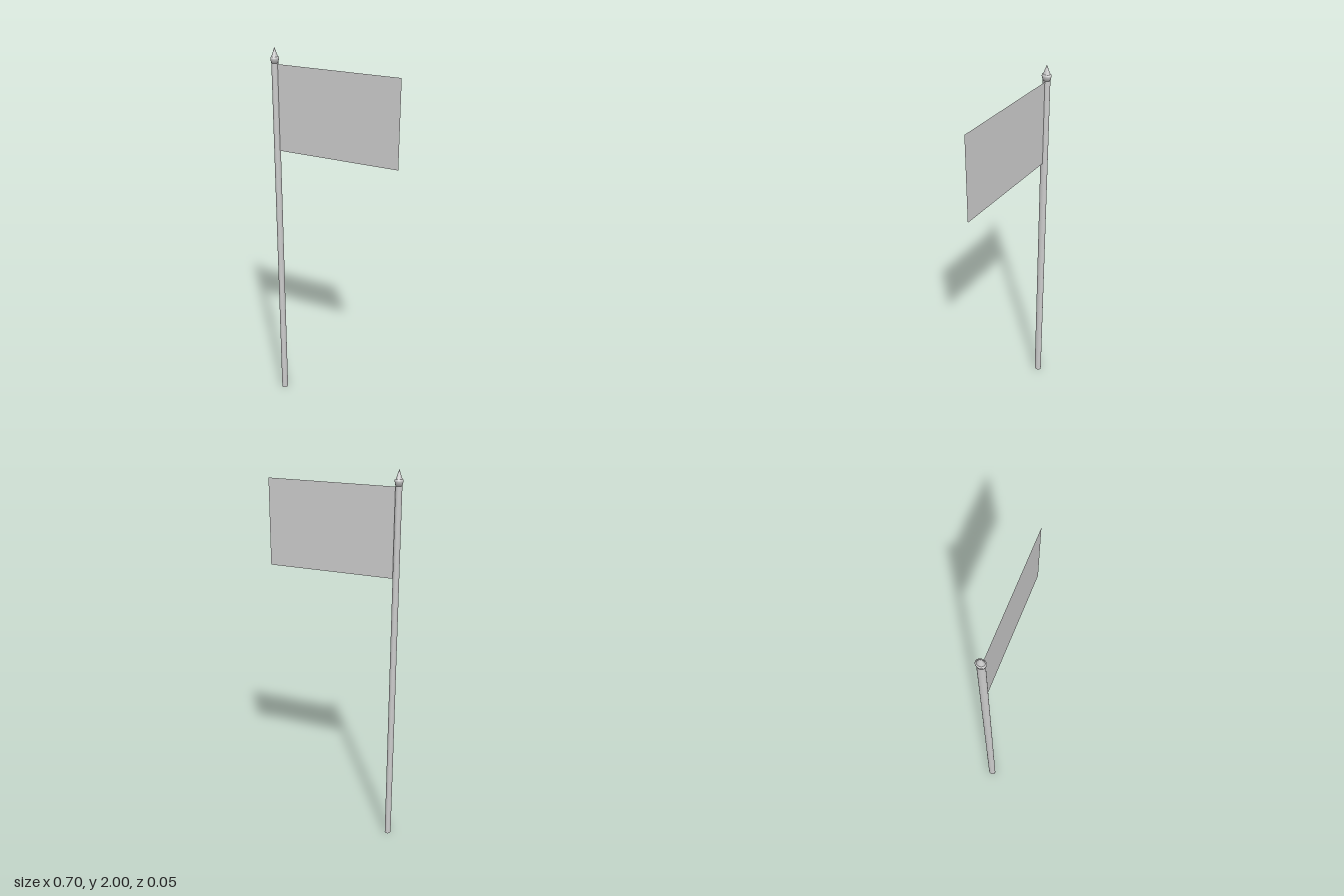
import * as THREE from 'three';

export function createModel() {
  const group = new THREE.Group();
  const grey = new THREE.MeshStandardMaterial({ color: 0xcccccc });
  const cloth = new THREE.MeshStandardMaterial({ color: 0xcccccc, side: THREE.DoubleSide });

  const add = (name, geometry, material, x, y) => {
    const mesh = new THREE.Mesh(geometry, material);
    mesh.name = name;
    mesh.position.set(x, y, 0);
    group.add(mesh);
    return mesh;
  };

  const poleX = -0.331;
  const squash = 0.8; // the pole is oval, narrower across x

  // Pole
  add('pole', new THREE.CylinderGeometry(0.02, 0.02, 1.94, 24), grey, poleX, 0.97).scale.x = squash;

  // Flared collar under the tip
  const collar = [[0, 1.922], [0.02, 1.922], [0.025, 1.942], [0.025, 1.95], [0.018, 1.953], [0, 1.953]]
    .map(([r, y]) => new THREE.Vector2(r, y));
  add('collar', new THREE.LatheGeometry(collar, 24), grey, poleX, 0).scale.x = squash;

  // Pointed tip
  add('finialTip', new THREE.ConeGeometry(0.02, 0.05, 24), grey, poleX, 1.975).scale.x = squash;

  // Flat flag, fixed to the pole along its near edge
  add('flag', new THREE.PlaneGeometry(0.666, 0.446), cloth, 0.017, 1.694);

  return group;
}
